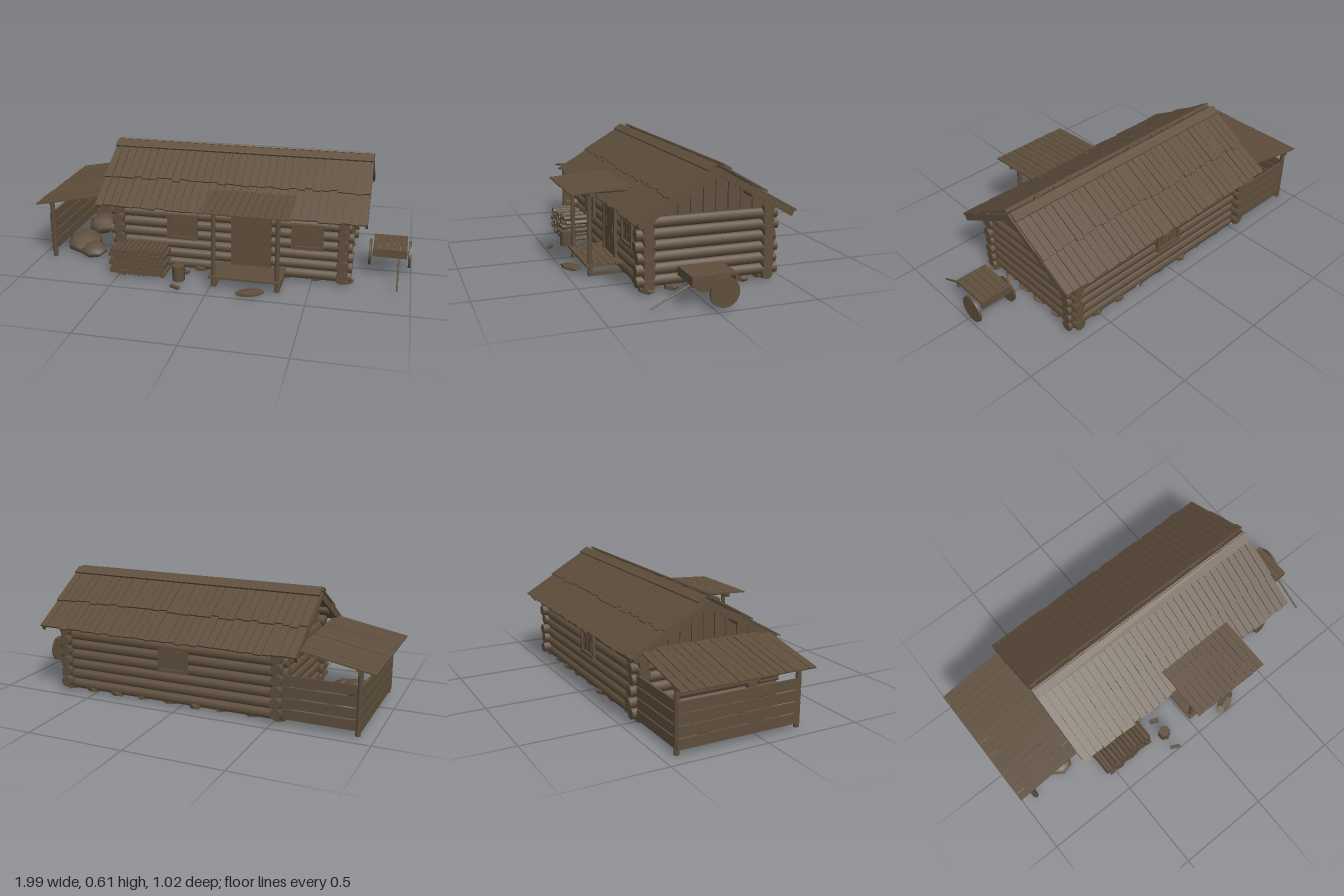
import * as THREE from 'three';

export function createModel() {
  const root = new THREE.Group();
  root.name = 'logCabin';
  const wood = new THREE.MeshStandardMaterial({ color: 0x5e4e3c });
  wood.name = 'weatheredWood';

  // Small seeded generator for hand-made irregularity
  let seed = 7;
  const rnd = () => (seed = (seed * 16807) % 2147483647) / 2147483647;
  const jit = (a) => (rnd() - 0.5) * 2 * a;

  const group = (name, parent = root) => {
    const g = new THREE.Group();
    g.name = name;
    parent.add(g);
    return g;
  };
  const add = (parent, name, geo, x, y, z) => {
    const m = new THREE.Mesh(geo, wood);
    m.name = name;
    m.position.set(x, y, z);
    parent.add(m);
    return m;
  };
  const box = (p, name, w, h, d, x, y, z) => add(p, name, new THREE.BoxGeometry(w, h, d), x, y, z);
  const log = (p, name, axis, r, len, x, y, z, sides = 8) => {
    const g = new THREE.CylinderGeometry(r * (0.95 + rnd() * 0.1), r, len, sides);
    if (axis === 'x') g.rotateZ(Math.PI / 2);
    if (axis === 'z') g.rotateX(Math.PI / 2);
    return add(p, name, g, x, y, z);
  };
  const stone = (p, name, w, h, d, x, y, z) => {
    const m = add(p, name, new THREE.DodecahedronGeometry(1, 0), x, y, z);
    m.scale.set(w, h, d);
    m.rotation.y = rnd() * 0.8;
    return m;
  };

  const X0 = -0.525, X1 = 0.655, Z0 = -0.4, Z1 = 0.21;
  const CX = (X0 + X1) / 2, CZ = -0.1;

  // Log walls with crossing ends at the corners
  const walls = group('logWalls');
  for (let i = 0; i < 7; i++) {
    for (const z of [Z0, Z1])
      log(walls, 'longWallLog', 'x', 0.029, X1 - X0 + 0.09 + jit(0.012), CX + jit(0.006), 0.052 + i * 0.054, z);
  }
  for (let i = 0; i < 6; i++) {
    for (const x of [X0, X1])
      log(walls, 'endWallLog', 'z', 0.029, Z1 - Z0 + 0.115 + jit(0.012), x, 0.07 + i * 0.056, CZ + 0.004 + jit(0.01));
  }
  box(walls, 'floor', X1 - X0, 0.012, Z1 - Z0, CX, 0.048, CZ + 0.005);

  // Foundation stones
  const base = group('foundationStones');
  for (let i = 0; i < 9; i++) {
    for (const z of [Z0, Z1])
      stone(base, 'stone', 0.044 + jit(0.008), 0.02, 0.036, X0 + (i / 8) * (X1 - X0) + jit(0.012), 0.032, z + jit(0.01));
  }
  for (const x of [X0, X1])
    for (const z of [0.085, -0.03, -0.15, -0.28])
      stone(base, 'stone', 0.036, 0.02, 0.046 + jit(0.012), x, 0.032, z);

  // Gables: backing triangle plus vertical boards clipped to the slope
  const SLOPE = 0.575;
  const ANG = Math.atan(SLOPE);
  const gables = group('gables');
  const boards = 11, bw = 0.7 / boards;
  for (const [x, s] of [[X0, -1], [X1, 1]]) {
    for (let i = 0; i < boards; i++) {
      const a = -0.35 + i * bw + 0.002, b = a + bw - 0.004;
      const top = (u) => 0.592 - Math.abs(u) * SLOPE;
      const shape = new THREE.Shape();
      shape.moveTo(a, 0.365);
      shape.lineTo(b, 0.365);
      shape.lineTo(b, top(b));
      if (a < 0 && b > 0) shape.lineTo(0, top(0));
      shape.lineTo(a, top(a));
      shape.closePath();
      const g = new THREE.ExtrudeGeometry(shape, { depth: 0.012, bevelEnabled: false });
      g.rotateY(-Math.PI / 2);
      add(gables, 'gableBoard', g, x + 0.006 + s * (i % 2) * 0.002, 0, CZ);
    }
  }

  // Two overlapping rows of roof boards on each slope, built in sloping frames
  const RX0 = -0.635, RX1 = 0.77, RL = RX1 - RX0;
  const roof = group('roof');
  for (const s of [1, -1]) {
    const slope = group(s > 0 ? 'frontSlope' : 'backSlope', roof);
    slope.position.set(0, 0.606, CZ);
    slope.rotation.x = s * ANG;
    box(slope, 'roofDeck', RL - 0.01, 0.008, 0.455, (RX0 + RX1) / 2, -0.006, s * 0.2275);
    const n = 34, w = RL / n;
    for (let i = 0; i < n; i++) {
      const x = RX0 + (i + 0.5) * w;
      const lower = box(slope, 'lowerRoofBoard', w - 0.003, 0.008, 0.25, x, 0.003 + jit(0.002), s * (0.344 + jit(0.006)));
      lower.rotation.y = jit(0.012);
      const upper = box(slope, 'upperRoofBoard', w - 0.003, 0.008, 0.255, x, 0.013 + jit(0.002), s * (0.142 + jit(0.01)));
      upper.rotation.y = jit(0.012);
    }
    box(slope, 'ridgeBoard', RL, 0.009, 0.05, (RX0 + RX1) / 2, 0.023, s * 0.03);
    for (const x of [RX0 + 0.006, RX1 - 0.006])
      box(slope, 'bargeBoard', 0.012, 0.032, 0.455, x, -0.017, s * 0.2275);
  }
  for (const [z, y] of [[CZ, 0.57], [0.09, 0.465], [-0.29, 0.465]])
    log(roof, 'purlin', 'x', 0.017, RL - 0.04, (RX0 + RX1) / 2, y, z);

  // Shuttered windows on front and back
  const windowAt = (x, z, s) => {
    const g = group('window');
    g.position.set(x, 0.265, z);
    g.rotation.y = s > 0 ? 0 : Math.PI;
    box(g, 'windowPanel', 0.15, 0.115, 0.05, 0, 0, 0);
    for (const k of [-1, 1]) {
      box(g, 'sideFrame', 0.016, 0.13, 0.07, k * 0.073, 0, 0);
      box(g, 'crossFrame', 0.165, 0.016, 0.074, 0, k * 0.06, 0);
      box(g, 'shutter', 0.047, 0.09, 0.062, k * 0.027, 0, 0);
      box(g, 'shutterBatten', 0.012, 0.028, 0.068, k * 0.04, 0, 0);
    }
  };
  windowAt(-0.183, Z1 + 0.005, 1);
  windowAt(0.472, Z1 + 0.005, 1);
  windowAt(0.03, Z0 - 0.005, -1);

  // Door
  const door = group('door');
  for (let i = 0; i < 4; i++)
    box(door, 'doorPlank', 0.039, 0.31, 0.055, 0.122 + i * 0.041, 0.215, Z1 + 0.008);
  for (const x of [0.09, 0.277]) box(door, 'doorJamb', 0.022, 0.33, 0.07, x, 0.22, Z1 + 0.006);
  box(door, 'doorLintel', 0.21, 0.024, 0.074, 0.183, 0.383, Z1 + 0.006);
  box(door, 'doorHandle', 0.008, 0.035, 0.075, 0.255, 0.215, Z1 + 0.006);

  // Porch with plank awning and deck
  const porch = group('porch');
  const awning = group('awning', porch);
  awning.position.set(0.183, 0.456, 0.352);
  awning.rotation.x = 0.062;
  for (let i = 0; i < 12; i++)
    box(awning, 'awningPlank', 0.034, 0.007, 0.3 + jit(0.004), -0.204 + i * 0.0371, jit(0.001), 0);
  for (const z of [-0.1, 0.045]) box(awning, 'awningBatten', 0.43, 0.008, 0.02, 0, -0.007, z);
  log(porch, 'awningBeam', 'x', 0.011, 0.43, 0.183, 0.436, 0.395);
  for (const x of [0.02, 0.345]) {
    log(porch, 'porchPost', 'y', 0.012, 0.41, x, 0.232, 0.395);
    log(porch, 'awningRafter', 'z', 0.01, 0.2, x, 0.443, 0.3);
    box(porch, 'deckSkid', 0.026, 0.018, 0.17, x, 0.028, 0.32);
  }
  for (let i = 0; i < 5; i++)
    box(porch, 'deckPlank', 0.37, 0.01, 0.036, 0.183, 0.075, 0.25 + i * 0.038);
  stone(porch, 'stepStone', 0.078, 0.013, 0.042, 0.22, 0.033, 0.46);

  // Lean-to shelter on the right-hand end
  const shed = group('leanTo');
  const shedRoof = group('leanToRoof', shed);
  shedRoof.position.set(-0.807, 0.367, -0.1);
  shedRoof.rotation.z = 0.187;
  for (let i = 0; i < 17; i++) {
    const p = box(shedRoof, 'leanToPlank', 0.39, 0.007, 0.0385, 0, jit(0.0015), -0.333 + i * 0.0414);
    p.rotation.y = jit(0.006);
  }
  for (const x of [-0.11, 0.12]) box(shedRoof, 'leanToBatten', 0.02, 0.01, 0.69, x, -0.008, 0);
  for (const z of [0.21, -0.43]) log(shed, 'leanToPost', 'y', 0.013, 0.31, -0.922, 0.175, z);
  log(shed, 'leanToBeam', 'z', 0.011, 0.68, -0.922, 0.33, -0.11);
  for (let i = 0; i < 4; i++) {
    const y = 0.07 + i * 0.057;
    box(shed, 'backWallBoard', 0.38, 0.05, 0.01, -0.74, y, -0.43);
    box(shed, 'outerWallBoard', 0.01, 0.05, 0.65, -0.934, y, -0.11);
  }

  // Heaps under the lean-to
  const heap = (w, h, d, x, y, z) => {
    const m = add(shed, 'heap', new THREE.SphereGeometry(1, 7, 5), x, y, z);
    m.scale.set(w, h, d);
    m.rotation.set(0.1, rnd() * 2, 0.1);
  };
  heap(0.105, 0.05, 0.1, -0.8, 0.066, 0.08);
  heap(0.07, 0.036, 0.075, -0.72, 0.05, 0.15);
  heap(0.085, 0.05, 0.085, -0.8, 0.062, -0.2);

  // Firewood stack
  const pile = group('firewood');
  for (let r = 0; r < 6; r++) {
    for (let c = 0; c < 12 - (r % 2); c++) {
      const m = log(pile, 'firewoodLog', 'z', 0.0135, 0.13 + jit(0.012), -0.537 + c * 0.0253 + (r % 2) * 0.0126,
        0.037 + r * 0.0235, 0.312 + jit(0.008), 6);
      m.rotation.z = rnd() * 2;
    }
  }

  // Chopping block and loose pieces
  const yard = group('yard');
  log(yard, 'choppingBlock', 'y', 0.034, 0.08, -0.165, 0.072, 0.39, 6);
  const chip = box(yard, 'splitWood', 0.055, 0.012, 0.018, -0.16, 0.035, 0.482);
  chip.rotation.y = -0.5;
  const chip2 = box(yard, 'splitWood', 0.05, 0.014, 0.025, -0.16, 0.035, 0.295);
  chip2.rotation.y = -0.4;

  // Handcart beside the left-hand end
  const cart = group('handcart');
  for (let i = 0; i < 5; i++)
    box(cart, 'cartPlank', 0.033, 0.012, 0.215, 0.815 + i * 0.0352, 0.172, 0.005);
  for (const z of [0.108, -0.098]) box(cart, 'cartSide', 0.175, 0.042, 0.01, 0.885, 0.157, z);
  for (const x of [0.781, 0.989]) log(cart, 'cartWheel', 'x', 0.071, 0.012, x, 0.1, -0.035, 20);
  const handle = log(cart, 'cartHandle', 'z', 0.005, 0.205, 0.932, 0.085, 0.2, 6);
  handle.rotation.x = 0.46;

  return root;
}
